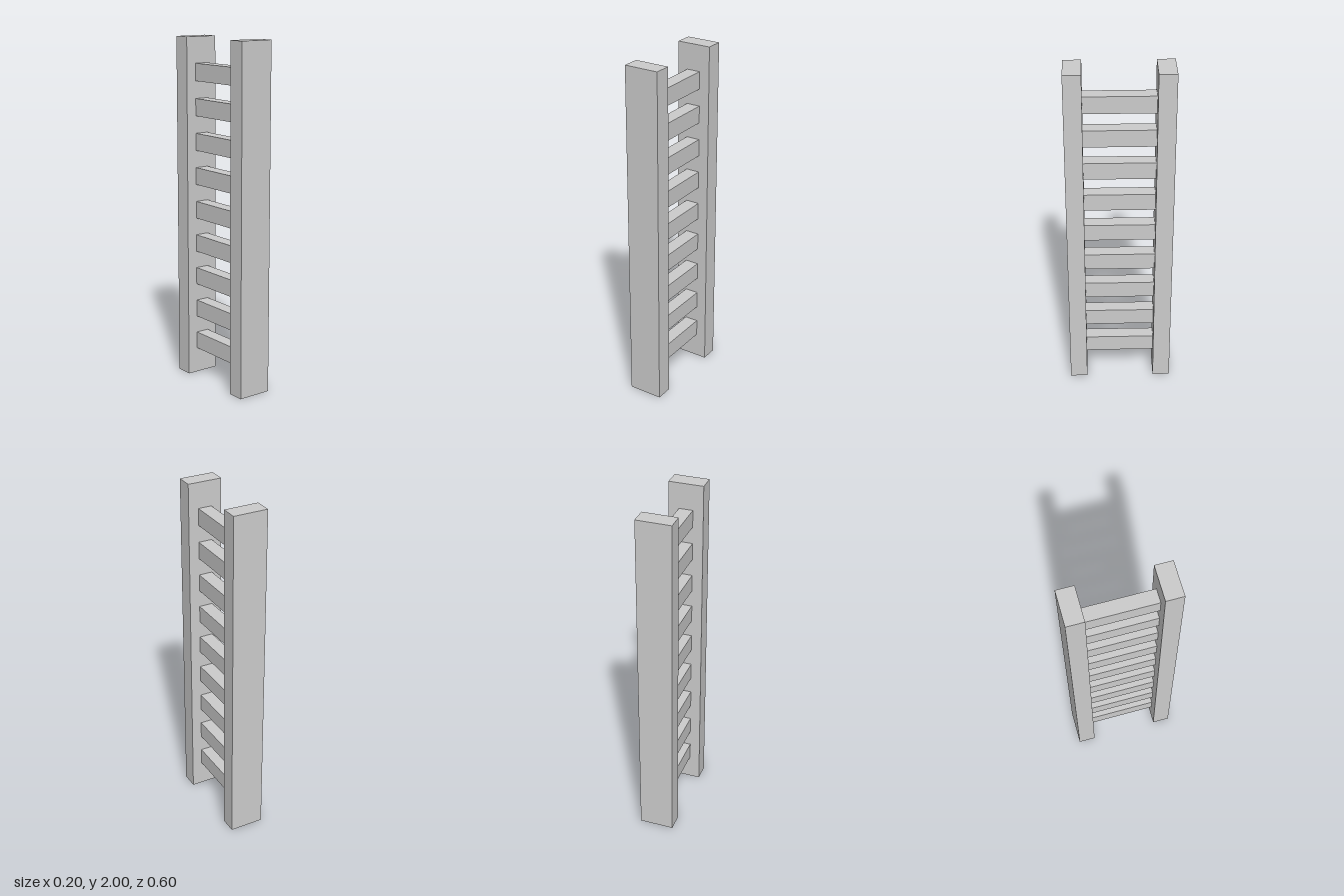
import * as THREE from 'three';

export function createModel() {
  const model = new THREE.Group();
  model.name = 'ladder';
  const material = new THREE.MeshStandardMaterial({ color: 0xcccccc, flatShading: true });

  const addPart = (name, geometry, y, z) => {
    const mesh = new THREE.Mesh(geometry, material);
    mesh.name = name;
    mesh.position.set(0, y, z);
    model.add(mesh);
  };

  // Two upright rails, front and back
  const rail = new THREE.BoxGeometry(0.2, 2, 0.1);
  addPart('frontRail', rail, 1, 0.25);
  addPart('backRail', rail, 1, -0.25);

  // Nine evenly spaced rungs between the rails
  const rung = new THREE.BoxGeometry(0.08, 0.1, 0.4);
  for (let i = 1; i <= 9; i++) addPart(`rung${i}`, rung, i * 0.2, 0);

  return model;
}
